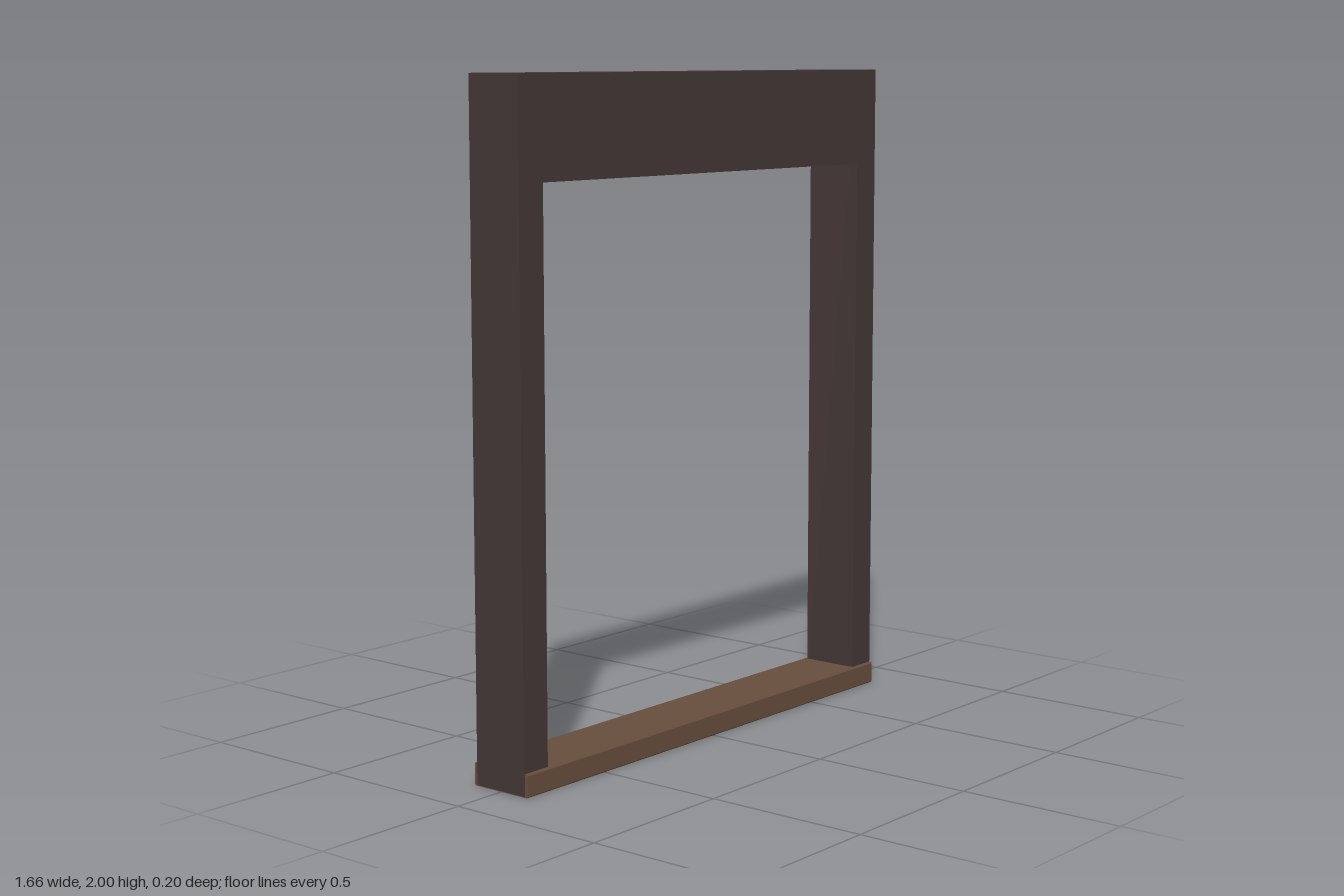
import * as THREE from 'three';

export function createModel() {
  const group = new THREE.Group();
  group.name = 'doorFrame';

  const darkWood = new THREE.MeshStandardMaterial({ color: 0x443636 });
  darkWood.name = 'dark wood';
  const brownWood = new THREE.MeshStandardMaterial({ color: 0x664d3c });
  brownWood.name = 'brown wood';

  const addBox = (name, material, [w, h, d], [x, y, z]) => {
    const mesh = new THREE.Mesh(new THREE.BoxGeometry(w, h, d), material);
    mesh.name = name;
    mesh.position.set(x, y, z);
    group.add(mesh);
  };

  const outer = 0.83, inner = 0.733, depth = 0.182;
  const headerBottom = 1.705, foot = 0.003;

  // Side posts, running down through the sill
  for (const [name, side] of [['leftPost', 1], ['rightPost', -1]]) {
    addBox(name, darkWood, [outer - inner, 2 - foot, depth],
      [side * (outer + inner) / 2, (2 + foot) / 2, 0]);
  }

  // Deep header between the posts
  addBox('header', darkWood, [inner * 2, 2 - headerBottom, depth],
    [0, (2 + headerBottom) / 2, 0]);

  // Sill, slightly deeper than the posts, with fine chamfered long edges
  const sillTop = 0.068, half = 0.102, c = 0.004, length = outer * 2 - 0.004;
  const profile = new THREE.Shape([
    [-half, c], [-half + c, 0], [half - c, 0], [half, c],
    [half, sillTop - c], [half - c, sillTop], [-half + c, sillTop], [-half, sillTop - c],
  ].map(([z, y]) => new THREE.Vector2(z, y)));
  const sillGeometry = new THREE.ExtrudeGeometry(profile, { depth: length, bevelEnabled: false });
  sillGeometry.translate(0, 0, -length / 2).rotateY(Math.PI / 2);
  const sill = new THREE.Mesh(sillGeometry, brownWood);
  sill.name = 'sill';
  group.add(sill);

  return group;
}
